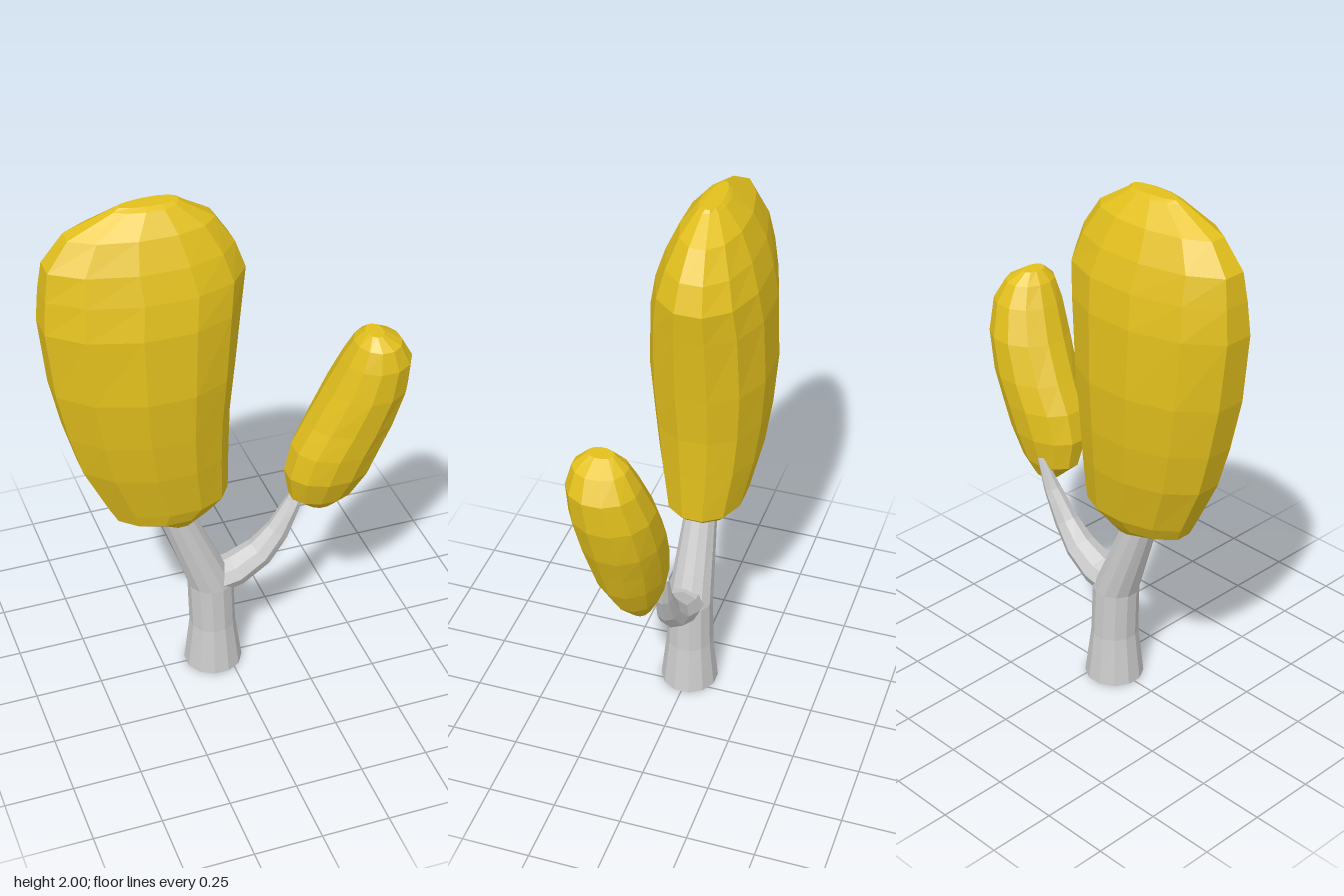
import * as THREE from 'three';

const SIDES = 12;
const bark = new THREE.MeshStandardMaterial({ color: 0xcccccc, flatShading: true, side: THREE.DoubleSide });
const leaf = new THREE.MeshStandardMaterial({ color: 0xe3c01d, flatShading: true });

// Skins a list of rings (arrays of Vector3, ordered upwards), closing the ends if asked.
function loft(name, rings, material, capped) {
  const n = rings[0].length;
  const pos = rings.flat().flatMap((p) => [p.x, p.y, p.z]);
  const index = [];
  for (let i = 0; i < rings.length - 1; i++) {
    for (let j = 0; j < n; j++) {
      const a = i * n + j, b = i * n + (j + 1) % n;
      index.push(a, a + n, b, b, a + n, b + n);
    }
  }
  if (capped) {
    const top = (rings.length - 1) * n;
    for (let j = 1; j < n - 1; j++) {
      index.push(0, j, j + 1, top, top + j + 1, top + j);
    }
  }
  const geo = new THREE.BufferGeometry();
  geo.setAttribute('position', new THREE.Float32BufferAttribute(pos, 3));
  geo.setIndex(index);
  geo.computeVertexNormals();
  const mesh = new THREE.Mesh(geo, material);
  mesh.name = name;
  return mesh;
}

// Level oval ring with flat ends, from its extents [y, xMin, xMax, zMin, zMax];
// skew moves the thickest place towards +x.
function levelRing([y, x0, x1, z0, z1], skew) {
  const grow = 1 / Math.cos(Math.PI / SIDES);
  return Array.from({ length: SIDES }, (_, j) => {
    const t = ((j + 0.5) / SIDES) * Math.PI * 2;
    const c = Math.cos(t) * grow, s = Math.sin(t) * grow;
    return new THREE.Vector3(
      (x0 + x1) / 2 + (x1 - x0) / 2 * (c + skew * Math.max(0, 1 - c * c)), y,
      (z0 + z1) / 2 + (z1 - z0) / 2 * s);
  });
}

// Rings square to a limb that bends in the xy plane: nodes are [x, y, z, radius, depth radius].
function limbRings(nodes, n) {
  return nodes.map(([x, y, z, r, rz], i) => {
    const a = nodes[Math.max(i - 1, 0)], b = nodes[Math.min(i + 1, nodes.length - 1)];
    const len = Math.hypot(b[0] - a[0], b[1] - a[1]);
    const sx = (b[1] - a[1]) / len, sy = -(b[0] - a[0]) / len;
    return Array.from({ length: n }, (_, j) => {
      const t = (j / n) * Math.PI * 2, c = r * Math.cos(t);
      return new THREE.Vector3(x + sx * c, y + sy * c, z + rz * Math.sin(t));
    });
  });
}

export function createModel() {
  const tree = new THREE.Group();
  tree.name = 'tree';

  // Trunk: flared foot, then a lean towards the large crown
  const trunk = [
    [-0.055, 0, 0.106, 0.105], [-0.057, 0.19, 0.083, 0.086],
    [-0.063, 0.38, 0.083, 0.082], [-0.19, 0.71, 0.063, 0.058], [-0.205, 0.75, 0.06, 0.05],
  ].map(([x, y, rx, rz]) => levelRing([y, x - rx, x + rx, -rz, rz], 0));
  tree.add(loft('trunk', trunk, bark, false));

  // Side branch: thick at the trunk, tapering up the back of the small crown
  const branch = limbRings([
    [-0.04, 0.395, 0.005, 0.06, 0.07], [0.03, 0.41, 0.005, 0.06, 0.072],
    [0.13, 0.465, 0.003, 0.054, 0.06], [0.2, 0.545, 0, 0.045, 0.045],
    [0.265, 0.66, -0.008, 0.03, 0.033], [0.305, 0.78, -0.025, 0.012, 0.015],
  ], 8);
  tree.add(loft('branch', branch, bark, true));

  // Large crown: broad in x, flat in z, narrow at the foot
  const large = [
    [0.705, -0.26, -0.13, -0.09, 0.06], [0.755, -0.41, -0.06, -0.13, 0.095],
    [0.81, -0.44, 0.0, -0.165, 0.115], [1.0, -0.53, 0.0, -0.205, 0.15],
    [1.16, -0.575, 0.003, -0.225, 0.17], [1.35, -0.615, 0.02, -0.237, 0.187],
    [1.6, -0.64, 0.045, -0.228, 0.178], [1.72, -0.63, 0.06, -0.21, 0.155],
    [1.82, -0.615, 0.025, -0.18, 0.125], [1.92, -0.54, -0.04, -0.135, 0.08],
    [1.99, -0.38, -0.15, -0.07, 0.025], [2.0, -0.36, -0.16, -0.055, 0.005],
  ].map((r) => levelRing(r, 0.14));
  tree.add(loft('largeCrown', large, leaf, true));

  // Small crown: leaning outwards
  const small = [
    [0.67, 0.30, 0.40, 0.01, 0.08], [0.74, 0.225, 0.46, -0.025, 0.145],
    [0.85, 0.205, 0.52, -0.048, 0.19], [0.96, 0.23, 0.56, -0.058, 0.208],
    [1.06, 0.28, 0.598, -0.06, 0.218], [1.2, 0.345, 0.63, -0.048, 0.235],
    [1.32, 0.395, 0.632, -0.01, 0.235], [1.395, 0.43, 0.59, 0.03, 0.215],
    [1.435, 0.465, 0.525, 0.08, 0.17],
  ].map((r) => levelRing(r, 0));
  tree.add(loft('smallCrown', small, leaf, true));

  return tree;
}
